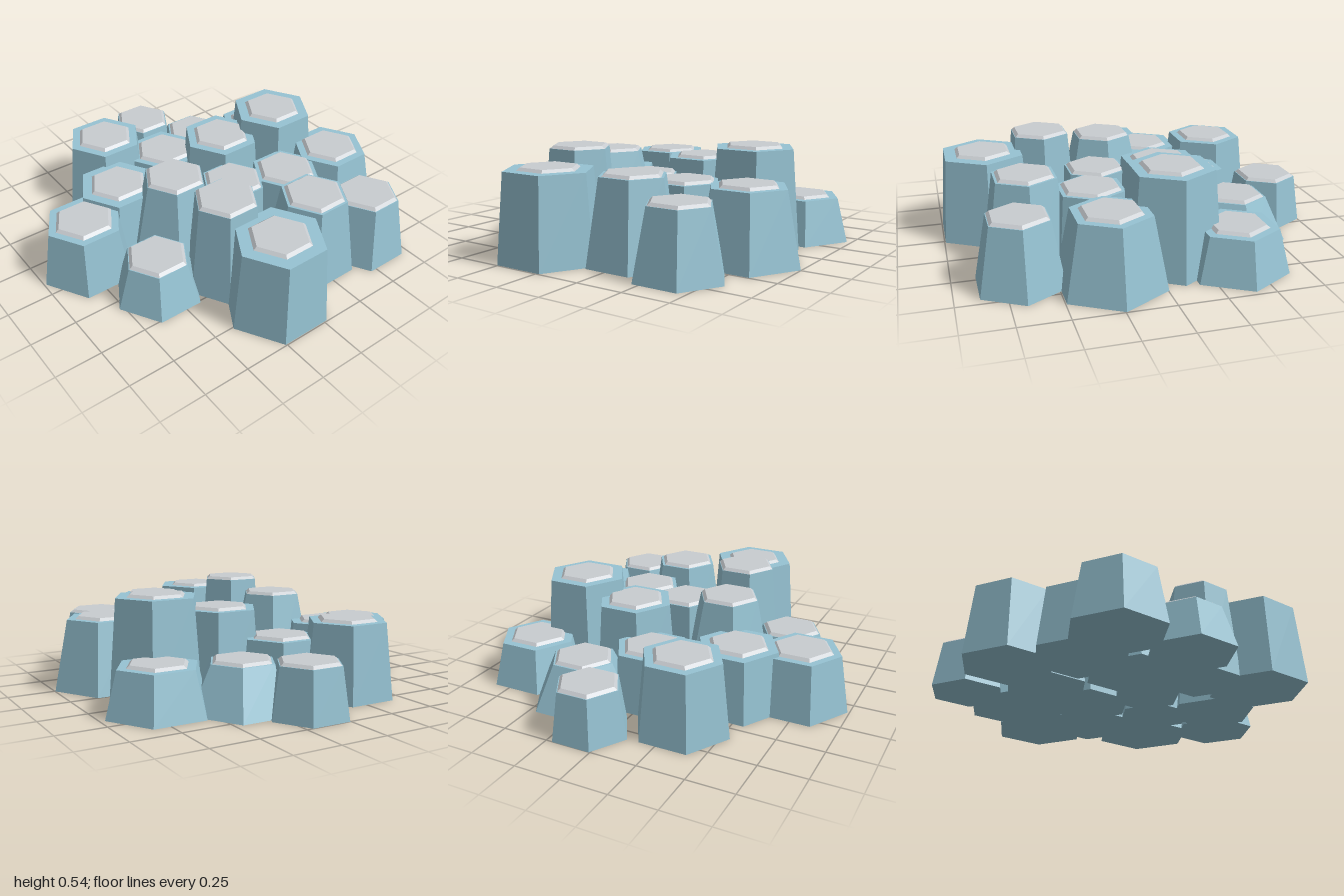
import * as THREE from 'three';

// Each column: x, z, base radius, top radius, total height
const COLUMNS = [
  [-0.405, -0.70, 0.275, 0.213, 0.25],
  [0.245, -0.71, 0.288, 0.21, 0.395],
  [0.67, -0.585, 0.24, 0.17, 0.365],
  [-0.10, -0.56, 0.27, 0.225, 0.54],
  [-0.82, -0.11, 0.21, 0.17, 0.275],
  [-0.545, -0.315, 0.29, 0.175, 0.255],
  [-0.15, -0.22, 0.25, 0.213, 0.46],
  [0.262, -0.36, 0.215, 0.188, 0.39],
  [0.588, -0.265, 0.25, 0.18, 0.455],
  [0.17, -0.06, 0.195, 0.175, 0.39],
  [-0.392, 0.015, 0.235, 0.203, 0.32],
  [-0.595, 0.29, 0.257, 0.213, 0.413],
  [-0.23, 0.43, 0.262, 0.22, 0.348],
  [-0.085, 0.73, 0.26, 0.207, 0.325],
  [0.304, 0.535, 0.24, 0.17, 0.248],
  [0.06, 0.25, 0.27, 0.168, 0.485],
  [0.43, 0.195, 0.215, 0.168, 0.54],
  [0.758, 0.12, 0.273, 0.235, 0.472],
];
const CAP_HEIGHT = 0.015;

export function createModel() {
  const model = new THREE.Group();
  model.name = 'hexagonalRockColumns';

  const stone = new THREE.MeshStandardMaterial({ color: 0x96c3d3, flatShading: true });
  stone.name = 'blue stone';
  const paleStone = new THREE.MeshStandardMaterial({ color: 0xc8ccd0, flatShading: true });
  paleStone.name = 'pale grey stone';

  // Bevelled cap shared by every column
  const capGeometry = new THREE.CylinderGeometry(0.147, 0.165, CAP_HEIGHT, 6);

  COLUMNS.forEach(([x, z, baseRadius, topRadius, height], i) => {
    const column = new THREE.Group();
    column.name = `column${i + 1}`;
    column.position.set(x, 0, z);

    // Tapered six-sided shaft
    const shaftHeight = height - CAP_HEIGHT;
    const shaft = new THREE.Mesh(
      new THREE.CylinderGeometry(topRadius, baseRadius, shaftHeight, 6), stone);
    shaft.name = 'shaft';
    shaft.position.y = shaftHeight / 2;

    const cap = new THREE.Mesh(capGeometry, paleStone);
    cap.name = 'cap';
    cap.position.y = height - CAP_HEIGHT / 2;

    column.add(shaft, cap);
    model.add(column);
  });
  return model;
}
